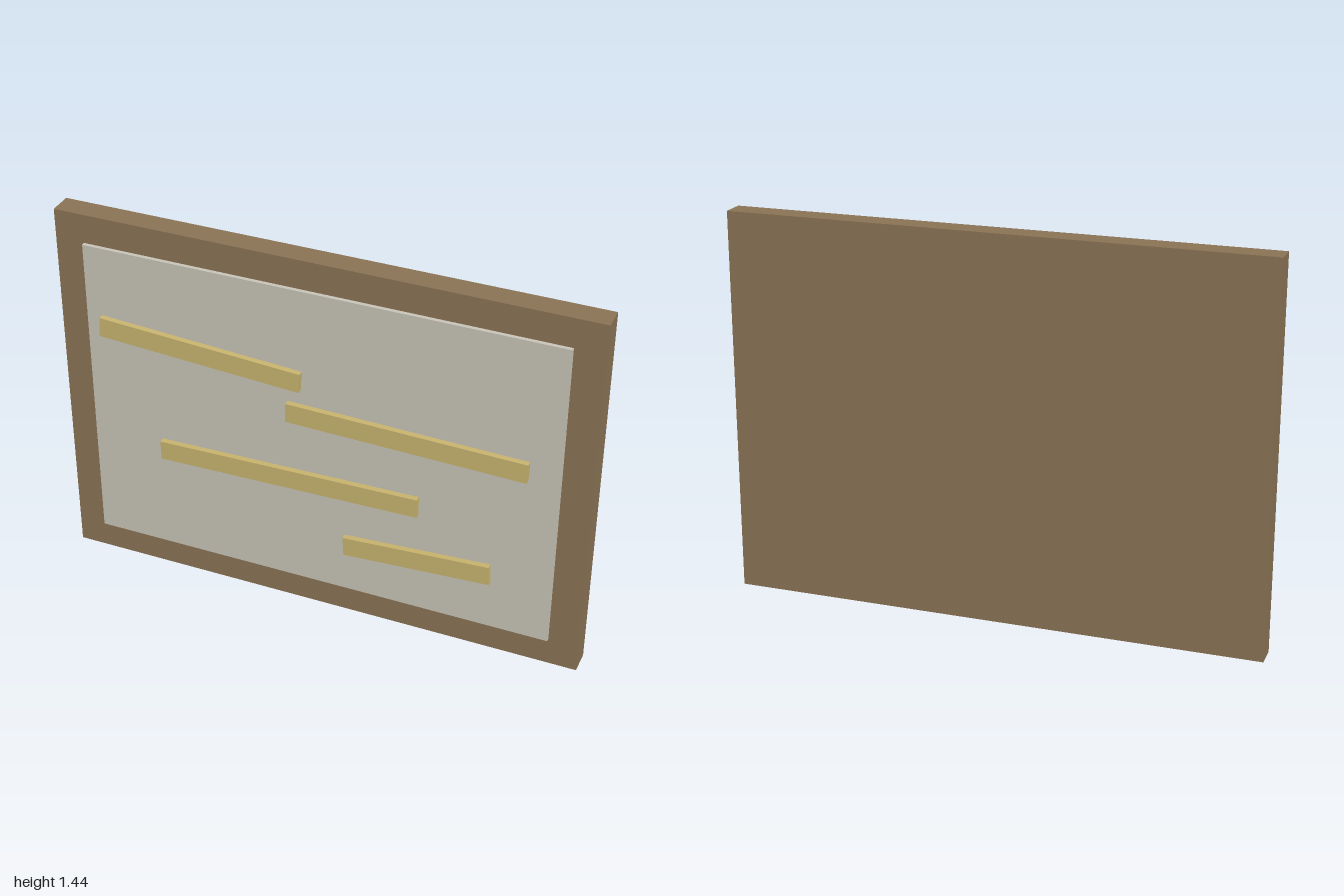
import * as THREE from 'three';

export function createModel() {
  const group = new THREE.Group();
  const material = (name, color) => {
    const m = new THREE.MeshStandardMaterial({ color });
    m.name = name;
    return m;
  };
  const wood = material('brown wood', 0x8b7355);
  const paper = material('pale grey', 0xc8c4b8);
  const straw = material('straw yellow', 0xc8b46e);

  // Box spanning z0..z1, centred on x, y and turned by angle about z
  const slab = (name, mat, w, h, z0, z1, x, y, angle = 0) => {
    const mesh = new THREE.Mesh(new THREE.BoxGeometry(w, h, z1 - z0), mat);
    mesh.name = name;
    mesh.position.set(x, y, (z0 + z1) / 2);
    mesh.rotation.z = angle;
    group.add(mesh);
  };

  // Backing board and raised panel
  slab('backBoard', wood, 2, 1.444, -0.063, 0.026, 0, 0.722);
  slab('frontPanel', paper, 1.778, 1.222, 0.026, 0.041, 0, 0.722);

  // Slightly tilted strips: length, x, y, angle
  [
    [0.775, -0.445, 1.0, -0.06],
    [0.889, 0.333, 0.834, -0.02],
    [1.0, -0.112, 0.557, 0.02],
    [0.555, 0.388, 0.335, 0.06],
  ].forEach(([length, x, y, angle], i) =>
    slab(`strip${i + 1}`, straw, length, 0.0756, 0.041, 0.063, x, y, angle));

  return group;
}
